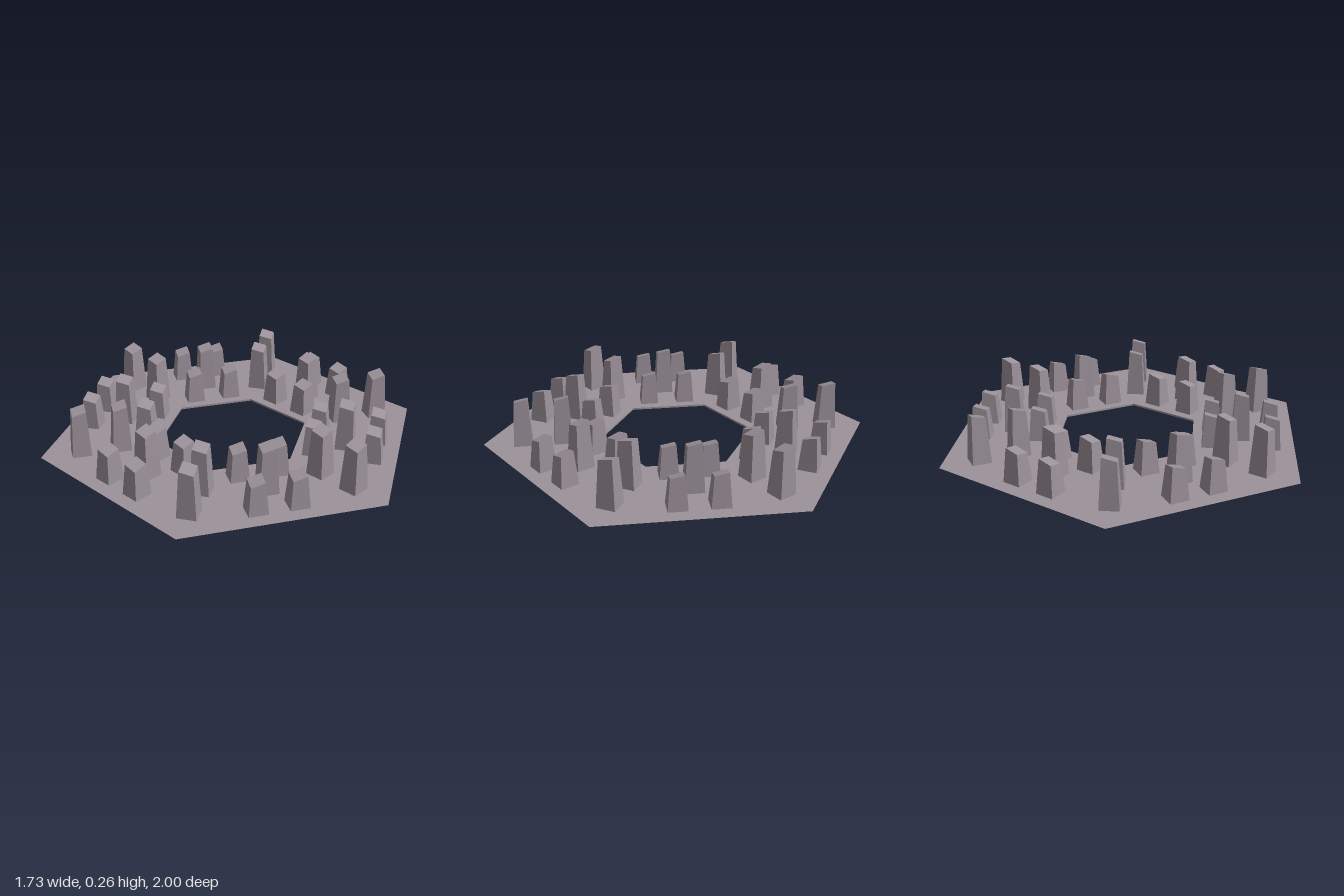
import * as THREE from 'three';

const BASE_Y = 0.01;

// Tapered block with a roof that rises towards local +x and -z
function pillarGeometry(height) {
  const geo = new THREE.BoxGeometry(0.096, 1, 0.096);
  const p = geo.attributes.position;
  for (let i = 0; i < p.count; i++) {
    if (p.getY(i) > 0) {
      const sx = Math.sign(p.getX(i));
      const sz = Math.sign(p.getZ(i));
      p.setXYZ(i, sx * 0.035, height + sx * 0.009 - sz * 0.007, sz * 0.035);
    } else {
      p.setY(i, 0);
    }
  }
  geo.computeVertexNormals();
  return geo;
}

export function createModel() {
  const model = new THREE.Group();
  model.name = 'hexagonalPillarField';

  const stone = new THREE.MeshStandardMaterial({ color: 0x9c929a, flatShading: true, side: THREE.DoubleSide });
  stone.name = 'stone';

  // Thin hexagonal floor with a hexagonal opening
  const floor = new THREE.Mesh(new THREE.RingGeometry(0.4, 1, 6, 1, Math.PI / 2), stone);
  floor.name = 'floor';
  floor.rotation.x = -Math.PI / 2;
  floor.position.y = BASE_Y;
  model.add(floor);

  // Short skirt around the opening
  const rim = new THREE.Mesh(new THREE.CylinderGeometry(0.4, 0.4, BASE_Y, 6, 1, true), stone);
  rim.name = 'innerRim';
  rim.position.y = BASE_Y / 2;
  model.add(rim);

  const tall = pillarGeometry(0.238);
  const low = pillarGeometry(0.16);

  // Places a pillar by its radial and sideways offset within a sector
  function addPillar(degrees, radial, side, geometry, name) {
    const a = THREE.MathUtils.degToRad(degrees);
    const pillar = new THREE.Mesh(geometry, stone);
    pillar.name = name;
    pillar.position.set(
      radial * Math.cos(a) - side * Math.sin(a), BASE_Y,
      radial * Math.sin(a) + side * Math.cos(a));
    // Square footprint: keep the smallest equivalent turn so all roofs lean alike
    const turn = degrees - 90 * Math.round(degrees / 90);
    pillar.rotation.y = -THREE.MathUtils.degToRad(turn);
    model.add(pillar);
  }

  for (let k = 0; k < 6; k++) {
    // Cluster of five behind each flat side
    const d = k * 60;
    addPillar(d, 0.593, 0, tall, 'sideTallPillar');
    for (const s of [-0.1, 0.1]) {
      addPillar(d, 0.443, s, low, 'innerLowPillar');
      addPillar(d, 0.745, s, low, 'outerLowPillar');
    }
    // Pair along each corner
    addPillar(d + 30, 0.593, 0, tall, 'cornerInnerPillar');
    addPillar(d + 30, 0.797, 0, tall, 'cornerOuterPillar');
  }
  return model;
}
